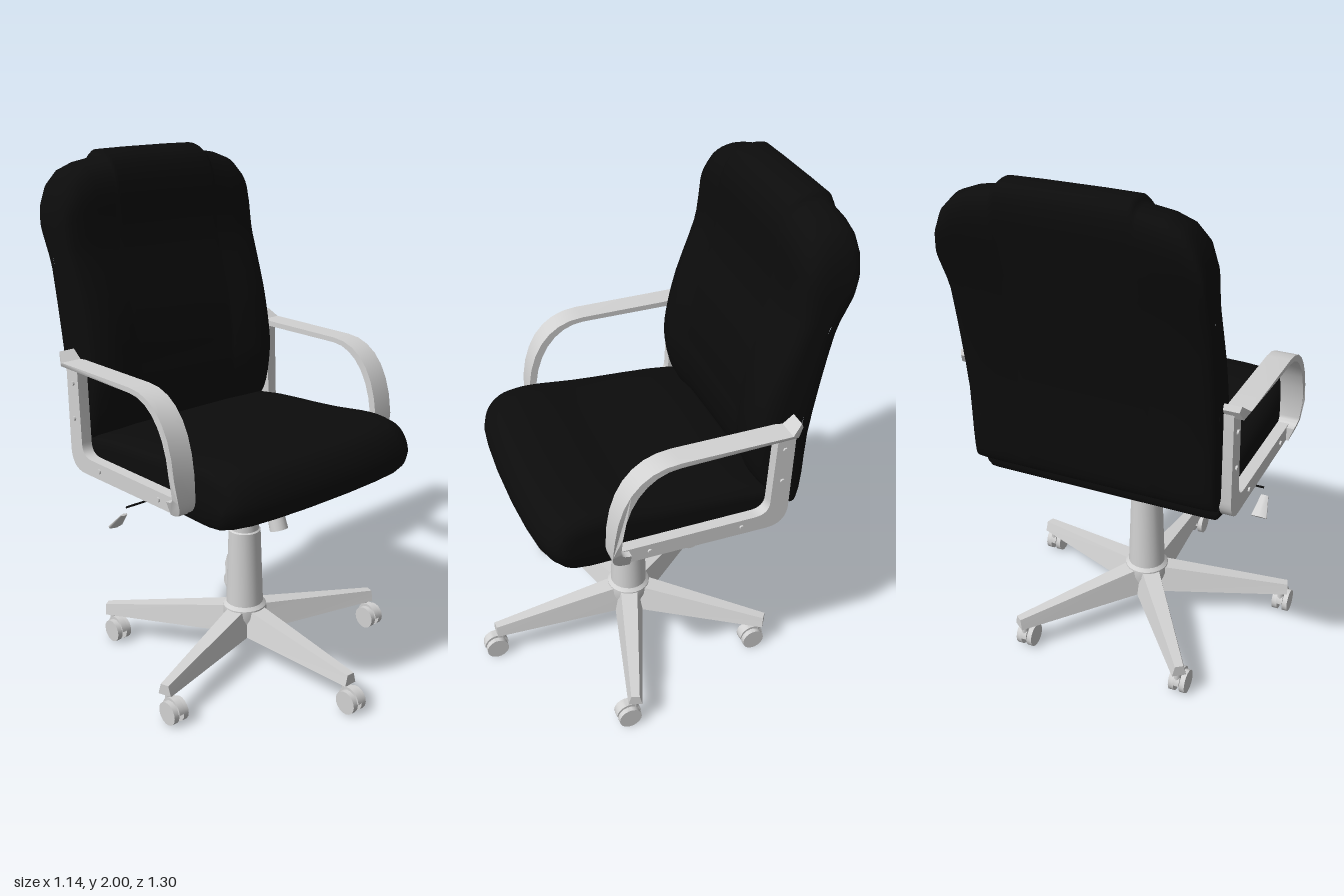
import * as THREE from 'three';
import { toCreasedNormals } from 'three/addons/utils/BufferGeometryUtils.js';

const black = new THREE.MeshStandardMaterial({ color: 0x0c0c0c, name: 'black upholstery' });
const grey = new THREE.MeshStandardMaterial({ color: 0xd2d2d2, name: 'light grey plastic' });

function part(parent, name, geo, mat, x = 0, y = 0, z = 0) {
  const mesh = new THREE.Mesh(geo, mat);
  mesh.name = name;
  mesh.position.set(x, y, z);
  parent.add(mesh);
  return mesh;
}

// Lofts a closed side profile of [z, y] points along x; place() bends each point
function loftX(profile, xs, place) {
  const curve = new THREE.CatmullRomCurve3(
    profile.map(([z, y]) => new THREE.Vector3(0, y, z)), true, 'centripetal');
  const n = 56, ring = curve.getPoints(n).slice(0, n);
  const pos = [], index = [];
  xs.forEach((s, i) => {
    for (const p of ring) {
      const [z, y] = place(p.z, p.y, s);
      pos.push(s.x, y, z);
    }
    if (i === xs.length - 1) return;
    for (let j = 0; j < n; j++) {
      const a = i * n + j, b = i * n + (j + 1) % n;
      index.push(a, a + n, b, b, a + n, b + n);
    }
  });
  const geo = new THREE.BufferGeometry();
  geo.setAttribute('position', new THREE.Float32BufferAttribute(pos, 3));
  geo.setIndex(index);
  geo.computeVertexNormals();
  return geo;
}

// Mirrors a half list of stations, given from the middle outwards
const mirrored = half => [
  ...half.slice().reverse().map(s => ({ ...s, x: -s.x })), ...half];

function cushions(g) {
  // k: thickness, front: reach of the front edge
  const seat = mirrored([
    { x: 0.1, k: 1, front: 1 }, { x: 0.25, k: 1, front: 0.985 }, { x: 0.36, k: 0.98, front: 0.96 },
    { x: 0.42, k: 0.94, front: 0.92 }, { x: 0.45, k: 0.84, front: 0.88 },
    { x: 0.464, k: 0.6, front: 0.83 }, { x: 0.466, k: 0, front: 0.8 }]);
  part(g, 'seatCushion', loftX(
    [[0.515, 0.89], [0.5, 0.95], [0.455, 1.0], [0.38, 1.02], [0.3, 1.022], [0.1, 1.0], [-0.34, 0.96],
      [-0.41, 0.93], [-0.42, 0.87], [-0.41, 0.81], [-0.3, 0.8], [0.1, 0.8], [0.43, 0.803], [0.49, 0.835]],
    seat, (z, y, s) => [z > 0 ? z * s.front : z,
      0.87 + (y - 0.87) * (y < 0.87 ? Math.min(1, s.k * 1.15) : s.k)]), black);

  // top: height of the outline, dent: hollow between the side bolsters
  const back = mirrored([
    { x: 0.1, k: 1, top: 2.0, dent: 0.04 }, { x: 0.225, k: 1, top: 1.998, dent: 0.037 },
    { x: 0.24, k: 1, top: 1.985, dent: 0.035 }, { x: 0.25, k: 0.98, top: 1.97, dent: 0.03 },
    { x: 0.33, k: 1, top: 1.957, dent: 0 }, { x: 0.39, k: 0.97, top: 1.935, dent: 0 },
    { x: 0.435, k: 0.9, top: 1.89, dent: 0 }, { x: 0.46, k: 0.76, top: 1.83, dent: 0 },
    { x: 0.472, k: 0.5, top: 1.77, dent: 0 }, { x: 0.474, k: 0, top: 1.74, dent: 0 }]);
  part(g, 'backrestCushion', loftX(
    [[-0.435, 1.78], [-0.445, 1.9], [-0.48, 1.97], [-0.54, 2.0], [-0.61, 1.997], [-0.637, 1.97],
      [-0.645, 1.9], [-0.62, 1.77], [-0.56, 1.5], [-0.515, 1.18], [-0.5, 0.93], [-0.48, 0.89],
      [-0.42, 0.89], [-0.34, 0.97], [-0.3, 1.12], [-0.302, 1.22], [-0.34, 1.4], [-0.42, 1.63]],
    back, (z, y, s) => {
      const mid = -0.46 - 0.17 * Math.max(0, y - 1.2);
      const hollow = z > mid ? s.dent * Math.max(0, 1 - Math.abs(y - 1.2) / 0.4) : 0;
      const yy = y > 1.6 ? 1.6 + (y - 1.6) * (s.top - 1.6) / 0.4 : y;
      return [mid + (z - mid) * s.k - hollow, yy];
    }), black);
}

// Extrudes a [z, y] outline from x0 to x1
function sidePlate(shape, x0, x1) {
  return new THREE.ExtrudeGeometry(shape, { depth: x1 - x0, bevelEnabled: false, curveSegments: 8 })
    .rotateY(-Math.PI / 2).translate(x1, 0, 0);
}

function armrest(g, side) {
  const arm = new THREE.Group();
  arm.name = side > 0 ? 'leftArmrest' : 'rightArmrest';
  g.add(arm);

  // Wide band: front arch and arm pad
  const band = new THREE.Shape();
  band.moveTo(0.2, 0.825);
  band.quadraticCurveTo(0.27, 0.825, 0.272, 0.89);
  band.bezierCurveTo(0.275, 1.14, 0.18, 1.257, 0.03, 1.258);
  band.lineTo(-0.39, 1.258);
  band.lineTo(-0.43, 1.29);
  band.lineTo(-0.44, 1.27);
  band.lineTo(-0.42, 1.236);
  band.lineTo(0.03, 1.238);
  band.bezierCurveTo(0.15, 1.237, 0.245, 1.12, 0.242, 0.91);
  band.quadraticCurveTo(0.24, 0.88, 0.2, 0.88);
  const bandGeo = sidePlate(band, 0.466, 0.556);
  const p = bandGeo.attributes.position;
  for (let i = 0; i < p.count; i++) {
    if (p.getX(i) < 0.5) continue;
    const low = Math.max(0, 1.0 - p.getY(i)), tip = Math.max(0, -0.39 - p.getZ(i));
    p.setX(i, p.getX(i) - low * low * 1.2 - tip * 0.5);
  }

  // Narrow bracket: bottom rail and rear post
  const rail = new THREE.Shape();
  rail.moveTo(0.23, 0.825);
  rail.lineTo(0.23, 0.885);
  rail.lineTo(-0.29, 0.885);
  rail.quadraticCurveTo(-0.35, 0.885, -0.35, 0.94);
  rail.lineTo(-0.36, 1.24);
  rail.lineTo(-0.43, 1.25);
  rail.lineTo(-0.425, 0.9);
  rail.quadraticCurveTo(-0.42, 0.82, -0.34, 0.82);

  const meshes = [
    ['armBand', bandGeo],
    ['armBracket', sidePlate(rail, 0.466, 0.51)],
    ...[[0.12, 0.855], [-0.24, 0.855], [-0.39, 1.03], [-0.39, 1.17]].map(([z, y]) =>
      ['armBolt', new THREE.CylinderGeometry(0.009, 0.009, 0.008, 10)
        .rotateZ(Math.PI / 2).translate(0.513, y, z)])];
  for (const [name, geo] of meshes) {
    // A half turn with z reversed keeps the outside facing out on the mirrored arm
    const mesh = part(arm, name, toCreasedNormals(geo, 0.6), grey);
    mesh.scale.x = side;
  }
}

function base(g) {
  const cz = 0.01, reach = 0.565;
  const profile = [[0, 0.115], [0.07, 0.115], [0.09, 0.19], [0.088, 0.222], [0.075, 0.235],
    [0.064, 0.55], [0.058, 0.555], [0.056, 0.67], [0.03, 0.672], [0.03, 0.74]];
  part(g, 'column', toCreasedNormals(new THREE.LatheGeometry(
    profile.map(([r, y]) => new THREE.Vector2(r, y)), 24), 0.5), grey, 0, 0, cz);

  for (let i = 0; i < 5; i++) {
    const a = i * Math.PI * 2 / 5;
    // Tapered leg with a narrower top
    const geo = new THREE.BoxGeometry(1, 1, 1);
    const p = geo.attributes.position;
    for (let v = 0; v < p.count; v++) {
      const out = p.getZ(v) > 0, up = p.getY(v) > 0;
      const w = (out ? 0.055 : 0.12) * (up ? 0.6 : 1);
      p.setXYZ(v, p.getX(v) * w, up ? (out ? 0.155 : 0.222) : 0.112, out ? 0.59 : 0.04);
    }
    geo.computeVertexNormals();
    part(g, 'baseLeg', geo, grey, 0, 0, cz).rotation.y = a;

    // Twin wheel caster
    const caster = new THREE.Group();
    caster.name = 'caster';
    caster.position.set(Math.sin(a) * reach, 0, cz + Math.cos(a) * reach);
    g.add(caster);
    part(caster, 'casterStem', new THREE.CylinderGeometry(0.014, 0.014, 0.07, 10), grey, 0, 0.095, 0);
    for (const s of [-1, 1]) {
      part(caster, 'casterWheel', toCreasedNormals(
        new THREE.CylinderGeometry(0.046, 0.046, 0.022, 18).rotateZ(Math.PI / 2), 0.6),
      grey, s * 0.022, 0.047, 0.03);
    }
    part(caster, 'casterHood', toCreasedNormals(
      new THREE.CylinderGeometry(0.05, 0.05, 0.026, 16, 1, false, 0, Math.PI)
        .rotateZ(Math.PI / 2), 0.6), grey, 0, 0.053, 0.03);
  }
}

function mechanism(g) {
  part(g, 'mountingPlate', new THREE.BoxGeometry(0.37, 0.025, 0.42), black, 0, 0.792, 0.02);
  // Housing narrowing towards the column
  const geo = new THREE.CylinderGeometry(0.15, 0.07, 0.045, 4, 1).rotateY(Math.PI / 4);
  geo.scale(0.85, 1, 1.7);
  part(g, 'tiltHousing', toCreasedNormals(geo, 0.5), black, 0, 0.757, 0.02);
  part(g, 'housingNeck', new THREE.CylinderGeometry(0.085, 0.035, 0.05, 16), black, 0, 0.717, 0.01);

  // Tension knob
  const knob = new THREE.Group();
  knob.name = 'tensionKnob';
  knob.position.set(0, 0.67, 0.188);
  knob.rotation.x = -0.32;
  g.add(knob);
  part(knob, 'knobGrip', toCreasedNormals(
    new THREE.CylinderGeometry(0.032, 0.036, 0.09, 16), 0.6), grey, 0, -0.015, 0);
  part(knob, 'knobCollar', new THREE.CylinderGeometry(0.022, 0.03, 0.04, 16), grey, 0, 0.05, 0);

  // Height lever
  part(g, 'leverRod', new THREE.CylinderGeometry(0.004, 0.004, 0.45, 8).rotateZ(Math.PI / 2),
    black, -0.29, 0.765, -0.07);
  const paddle = part(g, 'leverPaddle', new THREE.CylinderGeometry(0.016, 0.034, 0.085, 6),
    grey, -0.522, 0.705, -0.105);
  paddle.scale.z = 0.3;
  paddle.rotation.x = 0.75;
}

export function createModel() {
  const g = new THREE.Group();
  g.name = 'officeChair';
  cushions(g);
  for (const side of [-1, 1]) armrest(g, side);
  base(g);
  mechanism(g);
  return g;
}
